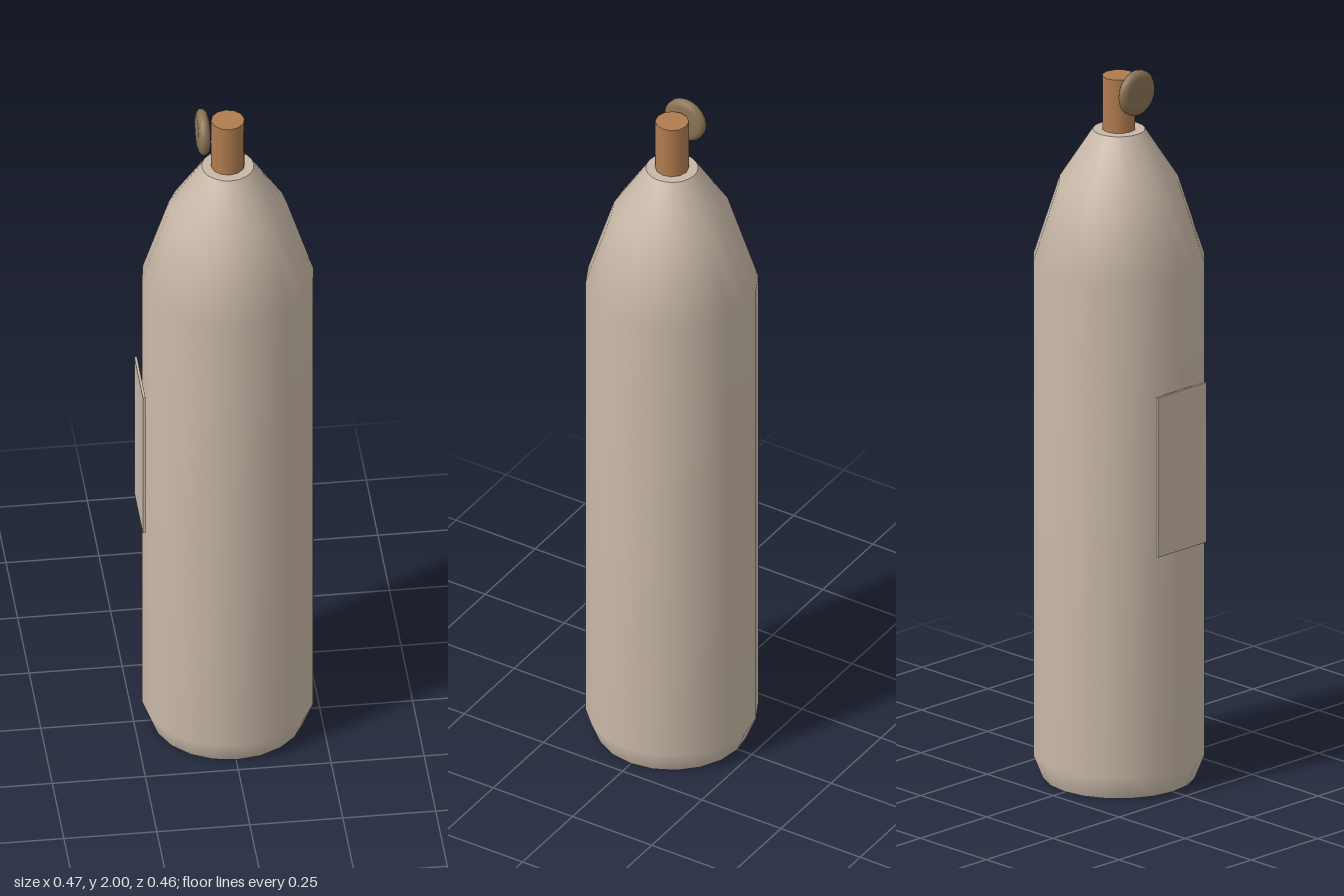
import * as THREE from 'three';

const material = (name, color) => {
  const m = new THREE.MeshStandardMaterial({ color });
  m.name = name;
  return m;
};

export function createModel() {
  const model = new THREE.Group();
  model.name = 'bottle';

  const clay = material('pale clay', 0xc8b8a8);
  const cork = material('cork brown', 0xb07c4f);
  const bronze = material('dull bronze', 0x8b7355);

  const add = (name, geometry, mat, x, y, z, parent = model) => {
    const mesh = new THREE.Mesh(geometry, mat);
    mesh.name = name;
    mesh.position.set(x, y, z);
    parent.add(mesh);
    return mesh;
  };
  const lathe = (points, sides) =>
    new THREE.LatheGeometry(points.map(([r, y]) => new THREE.Vector2(r, y)), sides);

  const axis = 0.003;

  // Bottle: smooth side wall with flat, sharp-edged ends
  const body = new THREE.Group();
  body.name = 'body';
  model.add(body);
  add('wall', lathe([[0.205, 0], [0.231, 0.065], [0.231, 1.457], [0.16, 1.68], [0.07, 1.82]], 20),
    clay, axis, 0, 0, body);
  add('base', new THREE.CircleGeometry(0.205, 20), clay, axis, 0, 0, body).rotation.x = Math.PI / 2;
  add('shoulderTop', new THREE.CircleGeometry(0.07, 20), clay, axis, 1.82, 0, body).rotation.x = -Math.PI / 2;

  // Stopper in the neck
  add('stopper', new THREE.CylinderGeometry(0.045, 0.045, 0.15, 12), cork, axis, 1.896, 0);

  // Round seal beside the stopper, its axis along x
  const seal = lathe([
    [0, -0.016], [0.046, -0.016], [0.056, -0.012], [0.063, -0.005],
    [0.063, 0.005], [0.056, 0.012], [0.046, 0.016], [0, 0.016],
  ], 20);
  add('seal', seal, bronze, -0.0645, 1.937, 0).rotation.z = Math.PI / 2;

  // Thin label plate on the right side
  add('label', new THREE.BoxGeometry(0.007, 0.45, 0.184), clay, -0.2335, 0.915, 0);

  return model;
}
